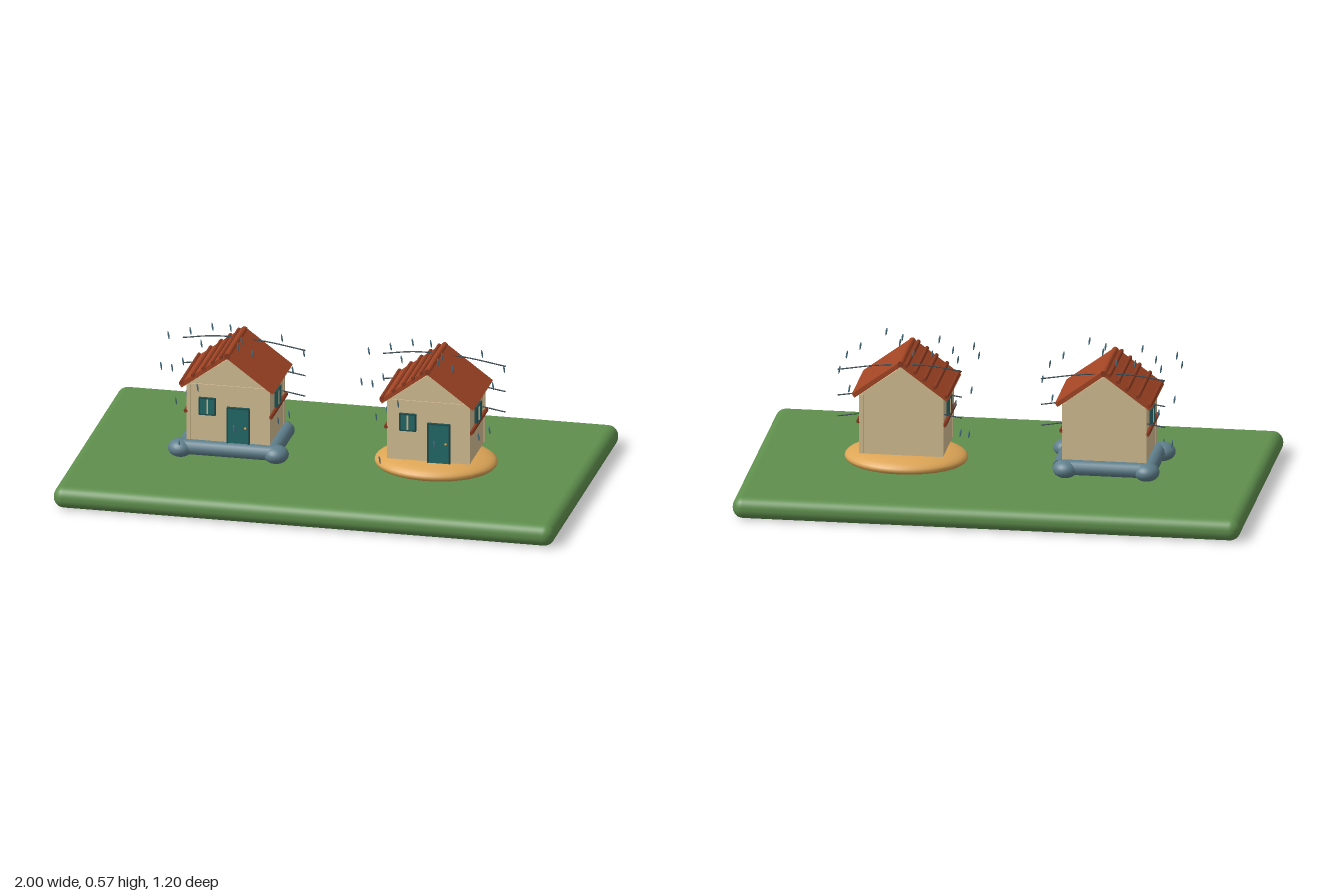
import * as THREE from 'three';
import { RoundedBoxGeometry } from 'three/addons/geometries/RoundedBoxGeometry.js';

const paint = (name, color) => {
  const m = new THREE.MeshStandardMaterial({ color });
  m.name = name;
  return m;
};
const grass = paint('grass', 0x5f8f4d);
const plaster = paint('plaster', 0xd6c094);
const roofRed = paint('roofRed', 0xa34524);
const timber = paint('timber', 0x8a3a20);
const teal = paint('teal', 0x23696a);
const darkTeal = paint('darkTeal', 0x1f4f50);
const stone = paint('stone', 0x5f7f8c);
const sand = paint('sand', 0xdda556);
const rainBlue = paint('rainBlue', 0x4a7488);
const windGrey = paint('windGrey', 0x3a4c54);

function add(parent, name, geometry, material, x = 0, y = 0, z = 0) {
  const mesh = new THREE.Mesh(geometry, material);
  mesh.name = name;
  mesh.position.set(x, y, z);
  parent.add(mesh);
  return mesh;
}
const box = (w, h, d) => new THREE.BoxGeometry(w, h, d);
const rodZ = (r, len) => new THREE.CylinderGeometry(r, r, len, 12).rotateX(Math.PI / 2);
const rodX = (r, len) => new THREE.CylinderGeometry(r, r, len, 16).rotateZ(Math.PI / 2);

// Two-pane window facing +z, centred on its group
function makeWindow(name, w, h) {
  const g = new THREE.Group();
  g.name = name;
  add(g, 'windowPanes', box(w, h, 0.008), teal, 0, 0, 0.004);
  for (const s of [-1, 1]) {
    add(g, 'frameSide', box(0.005, h + 0.005, 0.014), darkTeal, s * w / 2, 0, 0.005);
    add(g, 'frameRail', box(w + 0.005, 0.005, 0.014), darkTeal, 0, s * h / 2, 0.005);
  }
  add(g, 'mullion', box(0.006, h, 0.012), plaster, 0, 0, 0.005);
  return g;
}

function makeRoof() {
  const roof = new THREE.Group();
  roof.name = 'roof';
  const run = 0.187, top = 0.525, eave = 0.387;
  const angle = Math.atan2(top - eave, run), length = Math.hypot(run, top - eave);
  for (const s of [-1, 1]) {
    const slab = add(roof, 'roofSlope', box(length, 0.018, 0.31), roofRed, s * run / 2, (top + eave) / 2, 0);
    slab.rotation.z = -s * angle;
  }
  // Battens across one slope
  for (const t of [0.1, 0.28, 0.48, 0.7, 0.95]) {
    add(roof, 'batten', rodZ(0.008, 0.322), timber, -run * t - 0.005, top - (top - eave) * t + 0.008, 0);
  }
  // Ridge, bowed slightly upward
  const ridge = new THREE.QuadraticBezierCurve3(
    new THREE.Vector3(0, 0.524, -0.155), new THREE.Vector3(0, 0.533, 0), new THREE.Vector3(0, 0.524, 0.155));
  add(roof, 'ridge', new THREE.TubeGeometry(ridge, 12, 0.013, 10), roofRed);
  for (const s of [-1, 1]) {
    const cap = add(roof, 'ridgeCap', new THREE.CircleGeometry(0.013, 10), timber, 0, 0.524, s * 0.1552);
    if (s < 0) cap.rotation.y = Math.PI;
  }
  return roof;
}

function makeHouse(doorBottom) {
  const house = new THREE.Group();
  house.name = 'house';
  // Walls with gable ends
  const profile = new THREE.Shape([
    [-0.163, 0.145], [0.163, 0.145], [0.163, 0.388], [0, 0.505], [-0.163, 0.388],
  ].map(([x, y]) => new THREE.Vector2(x, y)));
  add(house, 'walls', new THREE.ExtrudeGeometry(profile, { depth: 0.26, bevelEnabled: false }), plaster, 0, 0, -0.13);
  for (const sx of [-1, 1]) {
    for (const sz of [-1, 1]) {
      add(house, 'cornerPost', box(0.016, 0.24, 0.016), plaster, sx * 0.158, 0.268, sz * 0.127);
    }
    add(house, 'sideRail', rodZ(0.008, 0.27), timber, sx * 0.17, 0.277, 0);
    const win = makeWindow('sideWindow', 0.072, 0.066);
    win.position.set(sx * 0.163, 0.316, 0.002);
    win.rotation.y = sx * Math.PI / 2;
    house.add(win);
  }
  add(house, 'gableBand', box(0.326, 0.006, 0.006), plaster, 0, 0.39, 0.131);
  const front = makeWindow('frontWindow', 0.062, 0.066);
  front.position.set(-0.083, 0.303, 0.13);
  house.add(front);

  // Front door with frame and knob
  const doorTop = 0.304, h = doorTop - doorBottom, midY = (doorTop + doorBottom) / 2;
  add(house, 'door', box(0.088, h, 0.009), teal, 0.041, midY, 0.1345);
  for (const s of [-1, 1]) add(house, 'doorJamb', box(0.005, h, 0.014), darkTeal, 0.041 + s * 0.043, midY, 0.136);
  add(house, 'doorLintel', box(0.091, 0.005, 0.014), darkTeal, 0.041, doorTop, 0.136);
  add(house, 'doorKnob', new THREE.SphereGeometry(0.005, 10, 8), sand, 0.07, 0.225, 0.142);

  house.add(makeRoof());
  return house;
}

// Falling drops and wind streaks around a house
function makeStorm() {
  const storm = new THREE.Group();
  storm.name = 'storm';
  const drop = new THREE.SphereGeometry(1, 8, 6).scale(0.0035, 0.017, 0.0035);
  for (let i = 0; i < 28; i++) {
    const column = i % 8, row = i < 8 ? (column % 7 ? 0 : 1) : (i * 5) % 6;
    const mesh = add(storm, 'rainDrop', drop, rainBlue,
      -0.26 + column * 0.073, 0.55 - row * 0.08, 0.17 - ((i * 3) % 5) * 0.065);
    mesh.rotation.z = 0.15;
  }
  for (const y of [0.49, 0.385, 0.3]) {
    const path = new THREE.CatmullRomCurve3([[-0.235, 0], [-0.1, 0.018], [0.08, 0.012], [0.255, -0.014]]
      .map(([x, dy]) => new THREE.Vector3(x, y + dy, -0.103)));
    add(storm, 'windStreak', new THREE.TubeGeometry(path, 24, 0.0025, 6), windGrey);
  }
  return storm;
}

// Ring of rounded stone beams with boulders on the corners
function makeStoneFooting() {
  const footing = new THREE.Group();
  footing.name = 'stoneFooting';
  const boulder = new THREE.SphereGeometry(1, 24, 16).scale(0.05, 0.036, 0.05);
  for (const [x, z] of [[-0.19, 0.135], [0.19, 0.13], [-0.167, -0.135], [0.153, -0.138]]) {
    add(footing, 'boulder', boulder, stone, x, 0.124, z);
  }
  for (const s of [-1, 1]) {
    add(footing, 'beamAcross', rodX(0.03, 0.36), stone, 0, 0.13, s * 0.136);
    add(footing, 'beamAlong', rodZ(0.03, 0.27), stone, s * 0.175, 0.13, 0);
  }
  return footing;
}

export function createModel() {
  const model = new THREE.Group();
  model.name = 'twoHouses';
  add(model, 'lawn', new RoundedBoxGeometry(2, 0.088, 1.2, 5, 0.042), grass, 0, 0.044, 0);

  const onStone = new THREE.Group();
  onStone.name = 'houseOnStone';
  onStone.position.x = -0.4;
  onStone.add(makeHouse(0.157), makeStoneFooting(), makeStorm());

  const onSand = new THREE.Group();
  onSand.name = 'houseOnSand';
  onSand.position.x = 0.4;
  onSand.add(makeHouse(0.143), makeStorm());
  add(onSand, 'sandMound', new THREE.SphereGeometry(1, 40, 20).scale(0.242, 0.052, 0.207), sand, 0, 0.103, 0);

  model.add(onStone, onSand);
  return model;
}
